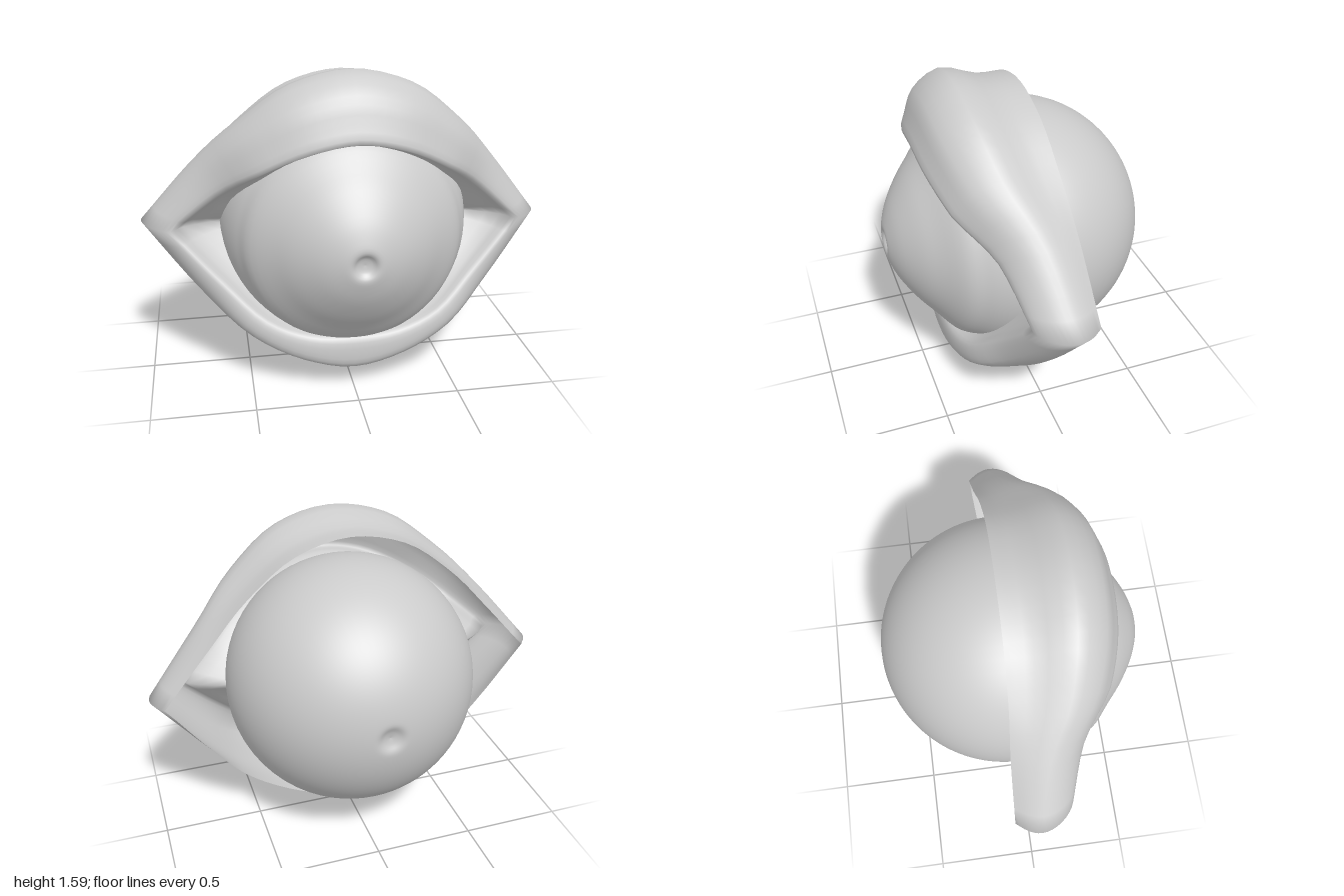
import * as THREE from 'three';

const material = new THREE.MeshStandardMaterial({ color: 0xcccccc, side: THREE.DoubleSide });
const V = (x, y, z = 0) => new THREE.Vector3(x, y, z);
const spline = (points) => new THREE.CatmullRomCurve3(points, false, 'centripetal');

// Eyeball: lathe along z with a slightly conical cornea and a dimple at each pole
function createEyeball() {
  const points = [[0, -0.615], [0.035, -0.623], [0.07, -0.638]].map(([r, z]) => new THREE.Vector2(r, z));
  for (let a = -80; a <= 30; a += 5) {
    const t = THREE.MathUtils.degToRad(a);
    points.push(new THREE.Vector2(0.625 * Math.cos(t), -0.02 + 0.625 * Math.sin(t)));
  }
  const cornea = [[0.5, 0.37], [0.4, 0.455], [0.31, 0.53], [0.2, 0.6], [0.11, 0.637],
    [0.065, 0.645], [0.035, 0.625], [0, 0.618]];
  cornea.forEach(([r, z]) => points.push(new THREE.Vector2(r, z)));
  const profile = new THREE.SplineCurve(points).getPoints(110);
  profile.forEach((p) => { p.x = Math.max(p.x, 0); });
  const geometry = new THREE.LatheGeometry(profile, 64);
  geometry.rotateX(Math.PI / 2);
  const eyeball = new THREE.Mesh(geometry, material);
  eyeball.name = 'eyeball';
  eyeball.position.y = 0.775;
  return eyeball;
}

// Lid sections, back edge to inner edge: [share of the way from outline to opening, z]
const cornerSection = [[0.3, -0.09], [0.08, -0.03], [0, 0.03], [0.1, 0.1], [0.4, 0.17], [0.72, 0.195], [1, 0.13], [2.1, 0.02]];
const topSection = [[0.18, -0.055], [0.18, 0.08], [0, 0.27], [0.3, 0.41], [0.68, 0.46], [0.97, 0.485], [1, 0.42], [1.25, 0.3]];
const bottomSection = [[0, 0], [0.06, 0.1], [0.18, 0.2], [0.44, 0.385], [0.7, 0.4], [1, 0.385], [1.1, 0.33], [1.3, 0.25]];

// Half-lid stations from corner to middle: outline x, y, opening x, y, blend to the middle section
const upper = [[1, 0.81, 0.8, 0.805, 0], [0.75, 1.11, 0.6, 0.98, 0.25], [0.52, 1.345, 0.42, 1.13, 0.75],
  [0.28, 1.52, 0.21, 1.24, 0.96], [0, 1.585, 0, 1.28, 1]];
const lower = [[1, 0.81, 0.8, 0.805, 0], [0.74, 0.46, 0.6, 0.58, 0.4], [0.52, 0.235, 0.42, 0.39, 0.82],
  [0.27, 0.085, 0.22, 0.3, 0.97], [0, 0, 0, 0.28, 1]];

// One lid as a list of cross-sections running from the +x corner to the -x corner
function lidSections(half, middle, steps) {
  const mirrored = half.slice(0, -1).reverse().map(([x, y, u, v, w]) => [-x, y, -u, v, w]);
  const stations = [...half, ...mirrored];
  const outline = spline(stations.map(([x, y, , , w]) => V(x, y, w)));
  const opening = spline(stations.map(([, , u, v]) => V(u, v)));
  const sections = [];
  for (let i = 0; i <= steps; i++) {
    const o = outline.getPoint(i / steps);
    const n = opening.getPoint(i / steps);
    const w = THREE.MathUtils.clamp(o.z, 0, 1);
    const control = middle.map(([t, z], k) => {
      const s = THREE.MathUtils.lerp(cornerSection[k][0], t, w);
      const x = o.x + (n.x - o.x) * s;
      const y = o.y + (n.y - o.y) * s - 0.025 * x * Math.abs(x); // slight tilt
      return V(x, y, THREE.MathUtils.lerp(cornerSection[k][1], z, w));
    });
    sections.push(spline(control).getPoints(21));
  }
  return sections;
}

// Eyelids: a closed, open-backed band around the eyeball
function createEyelids() {
  const steps = 32;
  const top = lidSections(upper, topSection, steps);
  const bottom = lidSections(lower, bottomSection, steps).reverse();
  const rings = [...top.slice(0, -1), ...bottom.slice(0, -1)];
  const across = rings[0].length;
  const positions = rings.flat().flatMap((p) => [p.x, p.y, p.z]);
  const index = [];
  for (let i = 0; i < rings.length; i++) {
    const next = (i + 1) % rings.length;
    for (let j = 0; j < across - 1; j++) {
      const a = i * across + j;
      const b = next * across + j;
      index.push(a, b, b + 1, a, b + 1, a + 1);
    }
  }
  const geometry = new THREE.BufferGeometry();
  geometry.setAttribute('position', new THREE.Float32BufferAttribute(positions, 3));
  geometry.setIndex(index);
  geometry.computeVertexNormals();
  const eyelids = new THREE.Mesh(geometry, material);
  eyelids.name = 'eyelids';
  return eyelids;
}

export function createModel() {
  const model = new THREE.Group();
  model.name = 'eye';
  model.add(createEyeball(), createEyelids());
  return model;
}
